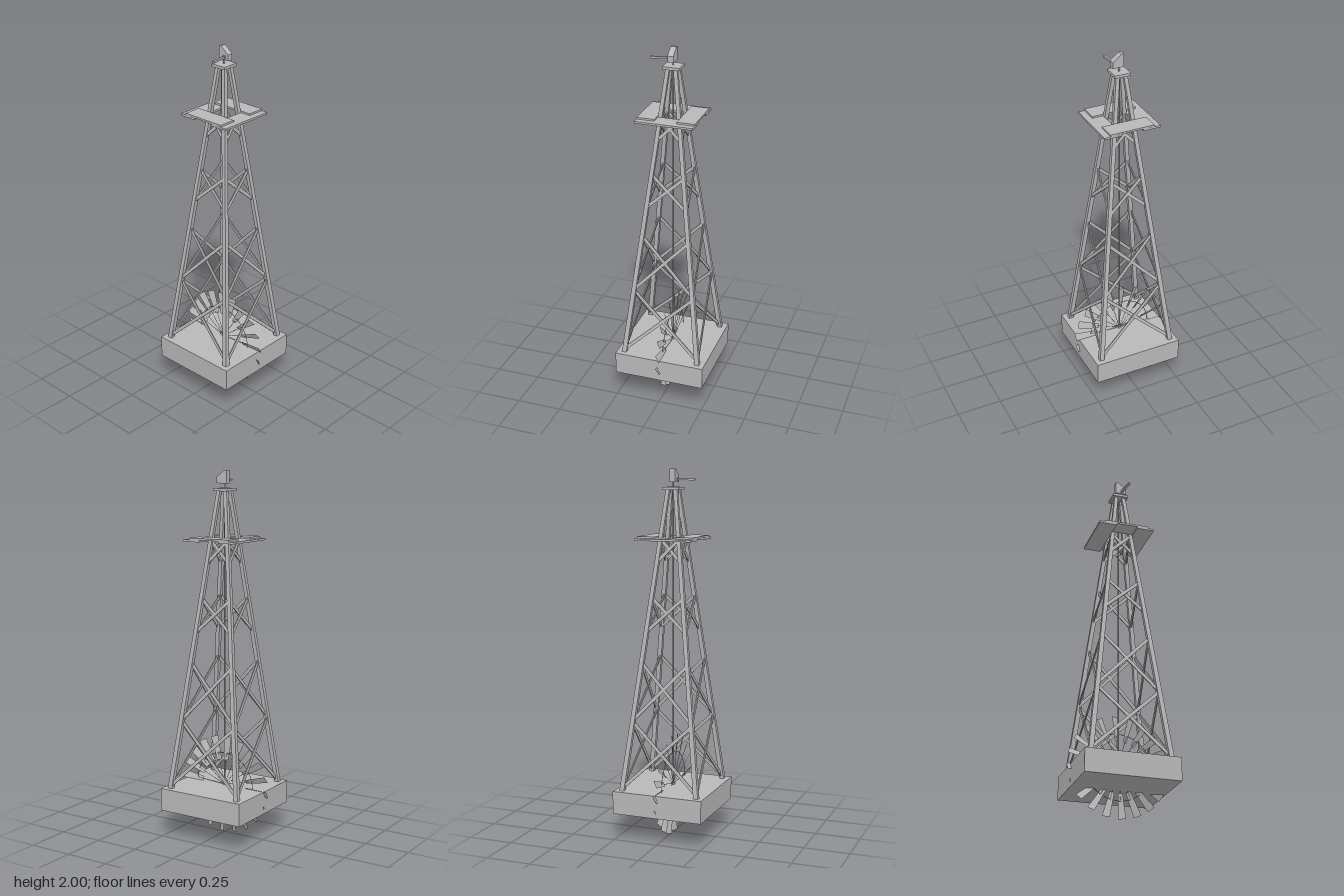
import * as THREE from 'three';

const V = (x, y, z) => new THREE.Vector3(x, y, z);
const Y0 = 0.27, Y1 = 1.892;
// distance of a leg's centre line from the axis at height y
const legAt = (y) => THREE.MathUtils.lerp(0.214, 0.021, (y - Y0) / (Y1 - Y0));

export function createModel() {
  const model = new THREE.Group();
  model.name = 'windPumpTower';
  const grey = new THREE.MeshStandardMaterial({ color: 0xb8b8b8 });
  grey.name = 'grey';
  const greySheet = new THREE.MeshStandardMaterial({ color: 0xb8b8b8, side: THREE.DoubleSide });
  greySheet.name = 'grey';

  const add = (parent, name, geo, x = 0, y = 0, z = 0, mat = grey) => {
    const mesh = new THREE.Mesh(geo, mat);
    mesh.name = name;
    mesh.position.set(x, y, z);
    parent.add(mesh);
    return mesh;
  };
  // box from its limits
  const block = (parent, name, x0, x1, y0, y1, z0, z1) =>
    add(parent, name, new THREE.BoxGeometry(x1 - x0, y1 - y0, z1 - z0),
      (x0 + x1) / 2, (y0 + y1) / 2, (z0 + z1) / 2);
  // flat bar from a to b, its thin side along the given normal
  const bar = (parent, name, a, b, width, thick, normal) => {
    const dir = b.clone().sub(a);
    const mesh = add(parent, name, new THREE.BoxGeometry(width, dir.length(), thick));
    const up = dir.normalize();
    const side = V().crossVectors(up, normal).normalize();
    mesh.quaternion.setFromRotationMatrix(
      new THREE.Matrix4().makeBasis(side, up, V().crossVectors(side, up)));
    mesh.position.copy(a).add(b).multiplyScalar(0.5);
  };

  // base
  block(model, 'base', -0.254, 0.254, 0.15, 0.275, -0.254, 0.254);

  // four tapering sides, each with one leg and crossed braces
  const slope = (legAt(0) - legAt(1));
  const normal = V(0, slope, 1).normalize();
  const panels = [[0.29, 0.65], [0.66, 0.97], [1.14, 1.32], [1.51, 1.63]];
  for (let i = 0; i < 4; i++) {
    const side = new THREE.Group();
    side.name = 'towerSide';
    side.rotation.y = i * Math.PI / 2;
    model.add(side);

    // leg: an upright box sheared towards the axis
    const legGeo = new THREE.BoxGeometry(0.026, Y1 - Y0, 0.026);
    const p = legGeo.attributes.position;
    for (let k = 0; k < p.count; k++) {
      const y = p.getY(k) + (Y0 + Y1) / 2, s = y > 1 ? 0.8 : 1;
      p.setXYZ(k, p.getX(k) * s + legAt(y), y, p.getZ(k) * s + legAt(y));
    }
    legGeo.computeVertexNormals();
    add(side, 'leg', legGeo);

    for (const [lo, hi] of panels) {
      for (const s of [-1, 1]) {
        const a = legAt(lo), b = legAt(hi), dz = s * 0.003;
        bar(side, 'brace', V(-s * a, lo, a + dz), V(s * b, hi, b + dz), 0.018, 0.006, normal);
      }
    }
  }

  // platform: two planks across, two more laid over them
  for (const s of [-1, 1]) {
    add(model, 'lowerPlank', new THREE.BoxGeometry(0.316, 0.011, 0.098), 0, 1.632, s * 0.109);
    add(model, 'upperPlank', new THREE.BoxGeometry(0.097, 0.010, 0.248), s * 0.109, 1.6425, 0);
  }

  // cap plate, stem and long pump rod
  block(model, 'capPlate', -0.046, 0.046, 1.89, 1.905, -0.044, 0.044);
  add(model, 'pumpRod', new THREE.CylinderGeometry(0.004, 0.004, 1.66, 8), 0, 1.105, 0);
  add(model, 'stem', new THREE.CylinderGeometry(0.005, 0.005, 0.04, 8), 0, 1.918, 0);

  // gear head with a sloping front, extruded across x
  const profile = new THREE.Shape([
    [0.02, 1.93], [0.02, 2.0], [0.005, 2.0], [-0.042, 1.963], [-0.042, 1.93],
  ].map(([x, y]) => new THREE.Vector2(x, y)).reverse());
  const headGeo = new THREE.ExtrudeGeometry(profile, { depth: 0.032, bevelEnabled: false });
  headGeo.rotateY(Math.PI / 2);
  add(model, 'gearHead', headGeo, -0.017, 0, 0);

  // wheel shaft
  block(model, 'shaftCollar', -0.021, -0.016, 1.937, 1.955, 0.007, 0.025);
  bar(model, 'shaft', V(-0.015, 1.945, 0.016), V(-0.111, 1.945, 0.030), 0.013, 0.010, V(0, 1, 0));

  // fan wheel resting in the base
  const wheel = new THREE.Group();
  wheel.name = 'fanWheel';
  wheel.position.y = 0.277;
  model.add(wheel);
  const rim = add(wheel, 'rim', new THREE.TorusGeometry(0.18, 0.002, 4, 40));
  rim.rotation.y = Math.PI / 2;
  const hub = add(wheel, 'hub', new THREE.CylinderGeometry(0.008, 0.008, 0.016, 10));
  hub.rotation.z = Math.PI / 2;

  // blade: a tapered sheet, twisted about its spoke
  const bladeGeo = new THREE.PlaneGeometry(1, 0.135);
  const q = bladeGeo.attributes.position;
  for (let k = 0; k < 4; k++) q.setX(k, q.getX(k) * (q.getY(k) > 0 ? 0.042 : 0.025));
  bladeGeo.rotateY(-Math.PI / 2 + 0.5);
  bladeGeo.translate(0, 0.2075, 0);
  for (let i = 0; i < 20; i++) {
    const arm = new THREE.Group();
    arm.name = 'wheelArm';
    arm.rotation.x = THREE.MathUtils.degToRad(18 * i - 4);
    wheel.add(arm);
    add(arm, 'blade', bladeGeo, 0, 0, 0, greySheet);
    add(arm, 'spoke', new THREE.CylinderGeometry(0.0015, 0.0015, 0.18, 4), 0, 0.09, 0);
  }
  return model;
}
